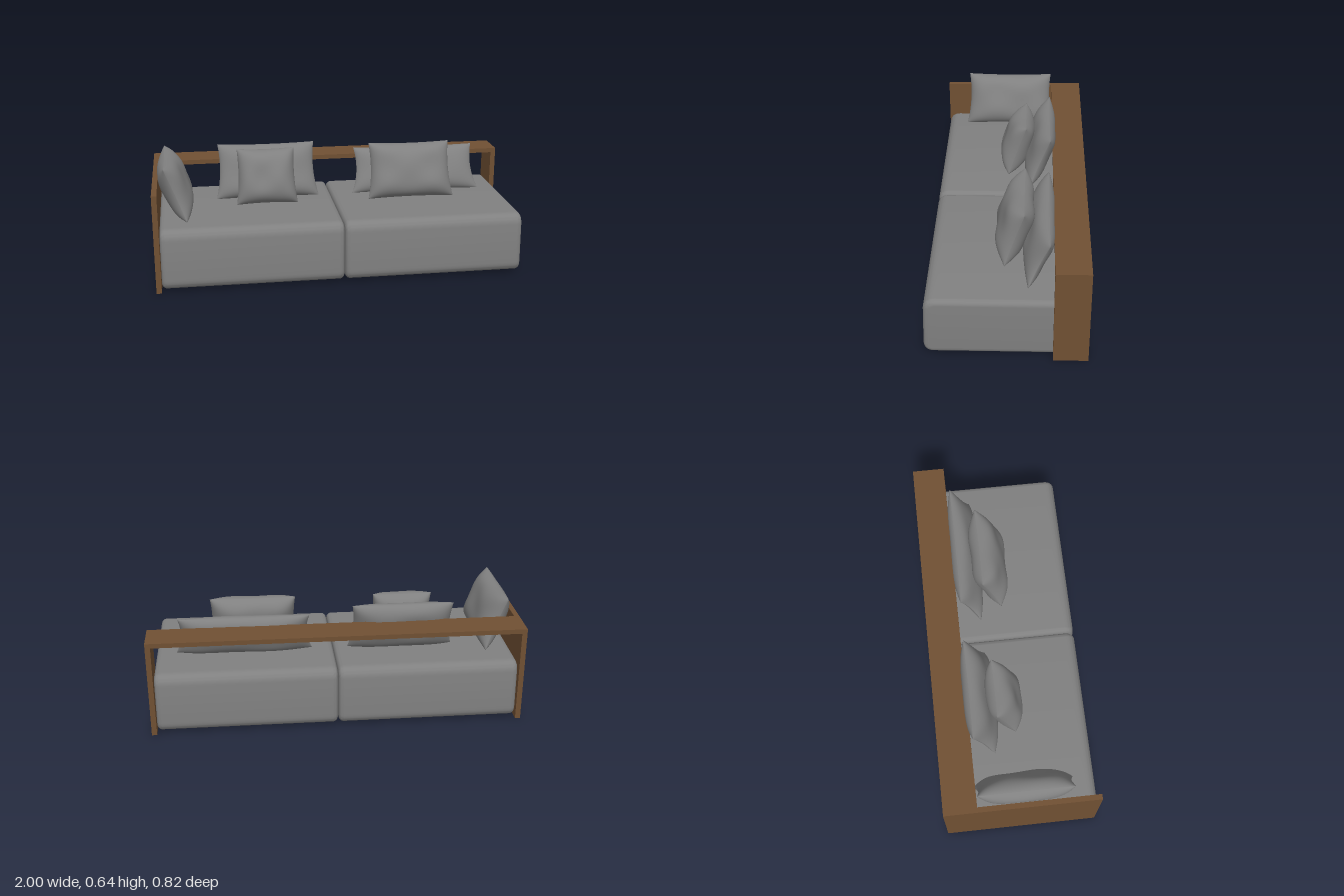
import * as THREE from 'three';
import { mergeGeometries, toCreasedNormals } from 'three/addons/utils/BufferGeometryUtils.js';

const fabric = new THREE.MeshStandardMaterial({ color: 0x808080 });
fabric.name = 'grey fabric';
const wood = new THREE.MeshStandardMaterial({ color: 0x705033 });
wood.name = 'brown wood';

function add(parent, name, geometry, material, x = 0, y = 0, z = 0) {
  const mesh = new THREE.Mesh(geometry, material);
  mesh.name = name;
  mesh.position.set(x, y, z);
  parent.add(mesh);
  return mesh;
}

// Board given by its min and max corners
function board(parent, name, [x0, y0, z0], [x1, y1, z1]) {
  add(parent, name, new THREE.BoxGeometry(x1 - x0, y1 - y0, z1 - z0), wood,
    (x0 + x1) / 2, (y0 + y1) / 2, (z0 + z1) / 2);
}

// Upholstered block: rounded side profile extruded across with soft bevels
function seatGeometry(width) {
  const s = new THREE.Shape();
  const back = -0.41, front = 0.412, low = 0.012, top = 0.337, r = 0.055;
  s.moveTo(back + r, low);
  s.lineTo(front - r, low);
  s.quadraticCurveTo(front, low, front, low + r);
  s.lineTo(front - 0.006, top - r);
  s.quadraticCurveTo(front - 0.012, top, front - 0.012 - r, top);
  s.lineTo(back + 0.012 + r, top);
  s.quadraticCurveTo(back + 0.012, top, back + 0.006, top - r);
  s.lineTo(back, low + r);
  s.quadraticCurveTo(back, low, back + r, low);
  const b = 0.028;
  const g = new THREE.ExtrudeGeometry(s, {
    depth: width - 2 * b, bevelSize: b, bevelThickness: b, bevelOffset: -b,
    bevelSegments: 6, curveSegments: 10,
  });
  g.translate(0, 0, b - width / 2);
  g.rotateY(-Math.PI / 2);
  return toCreasedNormals(g, 0.6);
}

// Pillow: two bulging sheets meeting at a seam, with pulled-out corners
function pillowGeometry(w, h, t, seed) {
  const sheet = (phase) => {
    const g = new THREE.PlaneGeometry(2, 2, 32, 32);
    const p = g.attributes.position;
    for (let i = 0; i < p.count; i++) {
      const u = Math.sin(p.getX(i) * Math.PI / 2);
      const v = Math.sin(p.getY(i) * Math.PI / 2);
      const fu = Math.max(0, 1 - u ** 4), fv = Math.max(0, 1 - v ** 4);
      const crease = 1 + 0.06 * Math.sin(5 * u + phase) * Math.sin(4 * v + 2 * phase);
      p.setXYZ(i,
        (w / 2) * u * (1 - 0.06 * (1 - v * v)) * (1 - 0.03 * v),
        (h / 2) * v * (1 - 0.04 * (1 - u * u)),
        (t / 2) * Math.pow(fu * fv, 0.62) * crease);
    }
    g.computeVertexNormals();
    return g;
  };
  return mergeGeometries([sheet(seed), sheet(seed + 2).rotateY(Math.PI)]);
}

export function createModel() {
  const model = new THREE.Group();
  model.name = 'sofa';

  // Wooden frame: full side panel, short side panel and back shelf
  const frame = new THREE.Group();
  frame.name = 'frame';
  model.add(frame);
  board(frame, 'rightPanel', [-1, 0, -0.412], [-0.972, 0.535, 0.41]);
  board(frame, 'leftPanel', [0.972, 0, -0.412], [1, 0.51, -0.235]);
  board(frame, 'backShelf', [-0.972, 0.51, -0.412], [1, 0.535, -0.235]);

  // Two seat blocks, each on four low feet
  const seat = seatGeometry(0.968);
  const foot = new THREE.CylinderGeometry(0.017, 0.017, 0.02, 20);
  for (const side of [-1, 1]) {
    add(model, side < 0 ? 'rightSeat' : 'leftSeat', seat, fabric, side * 0.486);
    for (const x of [0.12, 0.852])
      for (const z of [-0.295, 0.325]) add(model, 'foot', foot, fabric, side * x, 0.01, z);
  }

  // Cushions: name, width, height, thickness, centre, lean, turn
  const cushions = [
    ['endCushion', 0.52, 0.31, 0.14, [-0.88, 0.485, 0.022], 0.37, Math.PI / 2],
    ['rightBackCushion', 0.565, 0.31, 0.125, [-0.365, 0.479, -0.165], 0.37, 0],
    ['rightFrontCushion', 0.33, 0.31, 0.155, [-0.378, 0.484, -0.035], 0.33, 0],
    ['leftBackCushion', 0.72, 0.262, 0.115, [0.49, 0.457, -0.16], 0.42, 0],
    ['leftFrontCushion', 0.475, 0.315, 0.16, [0.437, 0.486, -0.035], 0.33, 0],
  ];
  cushions.forEach(([name, w, h, t, pos, lean, turn], i) => {
    const cushion = add(model, name, pillowGeometry(w, h, t, i * 1.3), fabric, ...pos);
    cushion.rotation.set(-lean, turn, 0, 'YXZ');
  });

  return model;
}
